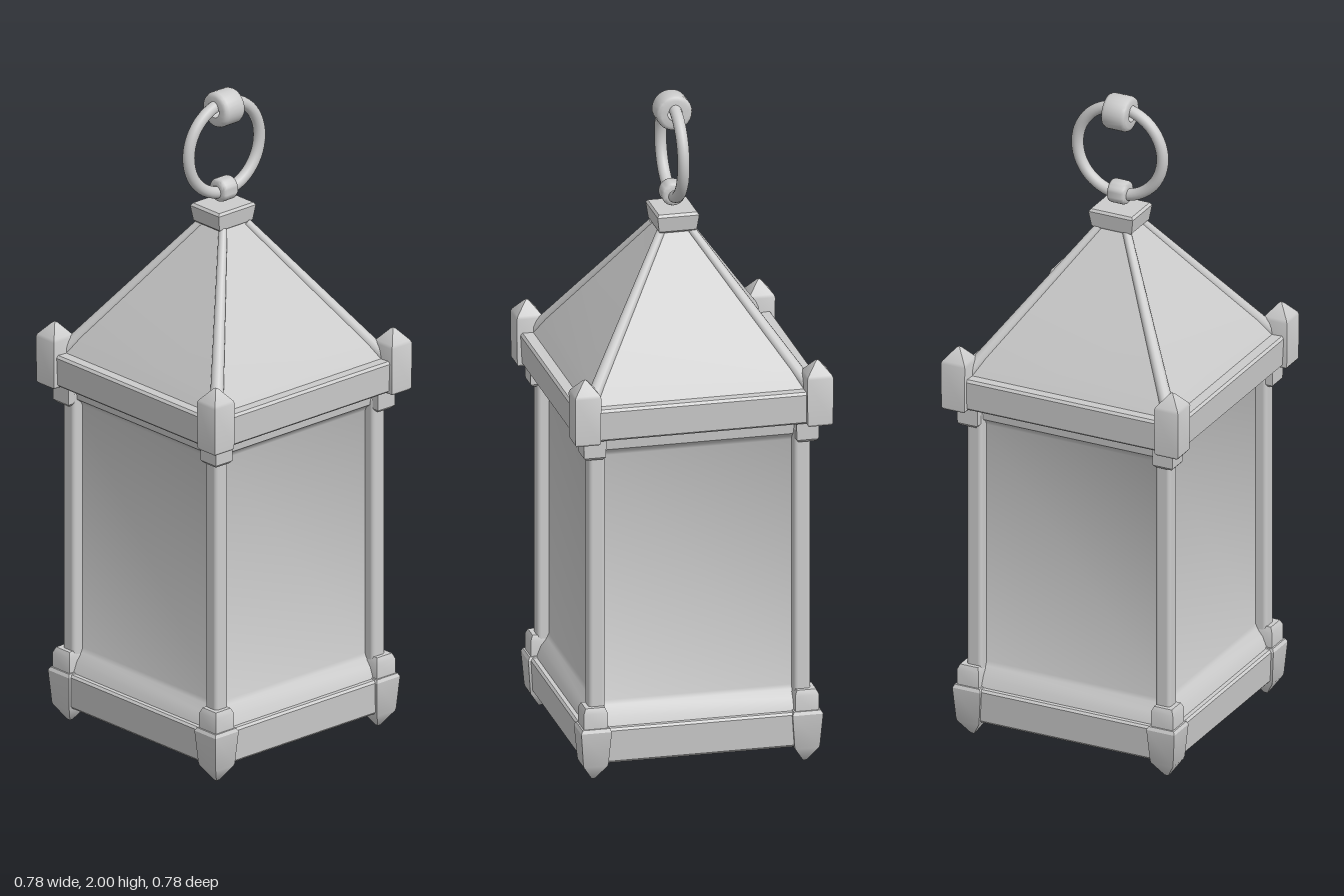
import * as THREE from 'three';
import { toCreasedNormals } from 'three/addons/utils/BufferGeometryUtils.js';
import { RoundedBoxGeometry } from 'three/addons/geometries/RoundedBoxGeometry.js';

export function createModel() {
  const model = new THREE.Group();
  const metal = new THREE.MeshStandardMaterial({ color: 0xcccccc });
  metal.name = 'greyMetal';

  const add = (name, geometry, x = 0, y = 0, z = 0) => {
    const mesh = new THREE.Mesh(geometry, metal);
    mesh.name = name;
    mesh.position.set(x, y, z);
    model.add(mesh);
    return mesh;
  };

  // Square solid from a profile of [half width, height], bottom to top
  const square = (profile) => {
    const points = profile.map(([r, y]) => new THREE.Vector2(r * Math.SQRT2, y));
    return toCreasedNormals(new THREE.LatheGeometry(points, 4, Math.PI / 4), 0.5);
  };

  // Round collar along x, bored through, with softened edges
  const collar = (outer, inner, half, bevel) => {
    const profile = [
      [inner, -half], [outer - bevel, -half], [outer - bevel * 0.3, -half + bevel * 0.3],
      [outer, -half + bevel], [outer, half - bevel], [outer - bevel * 0.3, half - bevel * 0.3],
      [outer - bevel, half], [inner, half], [inner, -half],
    ].map(([r, y]) => new THREE.Vector2(r, y));
    const geometry = toCreasedNormals(new THREE.LatheGeometry(profile, 28), 0.8);
    return geometry.rotateZ(Math.PI / 2);
  };

  // Base tray with a shallow recess underneath
  add('base', square([
    [0, 0.066], [0.318, 0.066], [0.324, 0.055], [0.344, 0.055], [0.35, 0.062],
    [0.357, 0.158], [0.351, 0.165], [0, 0.165],
  ]));

  // Body panels, flaring out to the sills at both ends
  add('bodyPanels', square([
    [0, 0.16], [0.338, 0.165], [0.325, 0.198], [0.306, 0.222], [0.3, 0.235],
    [0.3, 1.0], [0.306, 1.012], [0.322, 1.025], [0.327, 1.075], [0, 1.075],
  ]));

  // Roof rim and hipped roof
  add('roofRim', square([
    [0, 1.07], [0.368, 1.07], [0.374, 1.076], [0.379, 1.162], [0.373, 1.17],
    [0.338, 1.168], [0, 1.168],
  ]));
  add('roof', square([[0.345, 1.16], [0.31, 1.218], [0.18, 1.402], [0.045, 1.595]]));

  // Corner parts, repeated on all four corners
  for (const sx of [-1, 1]) {
    for (const sz of [-1, 1]) {
      const at = (name, geometry, d, y = 0) => add(name, geometry, sx * d, y, sz * d);

      at('cornerPost', new RoundedBoxGeometry(0.05, 0.86, 0.05, 3, 0.012), 0.31, 0.62);
      at('postFoot', square([
        [0, 0.155], [0.036, 0.155], [0.036, 0.215], [0.029, 0.231], [0, 0.231],
      ]), 0.319);
      at('postCapital', square([
        [0, 1.006], [0.026, 1.006], [0.033, 1.014], [0.034, 1.075], [0, 1.075],
      ]), 0.321);
      at('baseCorner', square([
        [0, 0], [0.006, 0.004], [0.036, 0.05], [0.038, 0.058], [0.046, 0.158], [0.041, 0.168], [0, 0.168],
      ]), 0.319);
      at('roofCorner', square([
        [0, 1.065], [0.034, 1.065], [0.038, 1.071], [0.0395, 1.212], [0.036, 1.221],
        [0.006, 1.257], [0, 1.261],
      ]), 0.3505);

      // Rounded rib along the roof hip
      const low = new THREE.Vector3(sx * 0.332, 1.168, sz * 0.332);
      const high = new THREE.Vector3(sx * 0.046, 1.585, sz * 0.046);
      const rib = add('hipRib', new THREE.CylinderGeometry(0.013, 0.021, low.distanceTo(high), 12));
      rib.position.copy(low).add(high).multiplyScalar(0.5);
      rib.quaternion.setFromUnitVectors(new THREE.Vector3(0, 1, 0), high.clone().sub(low).normalize());
    }
  }

  // Cap block on the roof peak
  const cap = add('roofCap', square([
    [0, 1.585], [0.06, 1.585], [0.066, 1.591], [0.073, 1.637], [0.067, 1.645], [0, 1.645],
  ]), -0.002, 0, -0.002);
  cap.scale.z = 0.86;

  // Hanging ring held between two collars
  add('lowerCollar', collar(0.036, 0.014, 0.029, 0.01), 0, 1.69, 0);
  add('hangingRing', new THREE.TorusGeometry(0.14, 0.018, 16, 56), 0, 1.822, 0);
  add('upperCollar', collar(0.054, 0.022, 0.04, 0.013), 0, 1.946, 0);

  return model;
}
